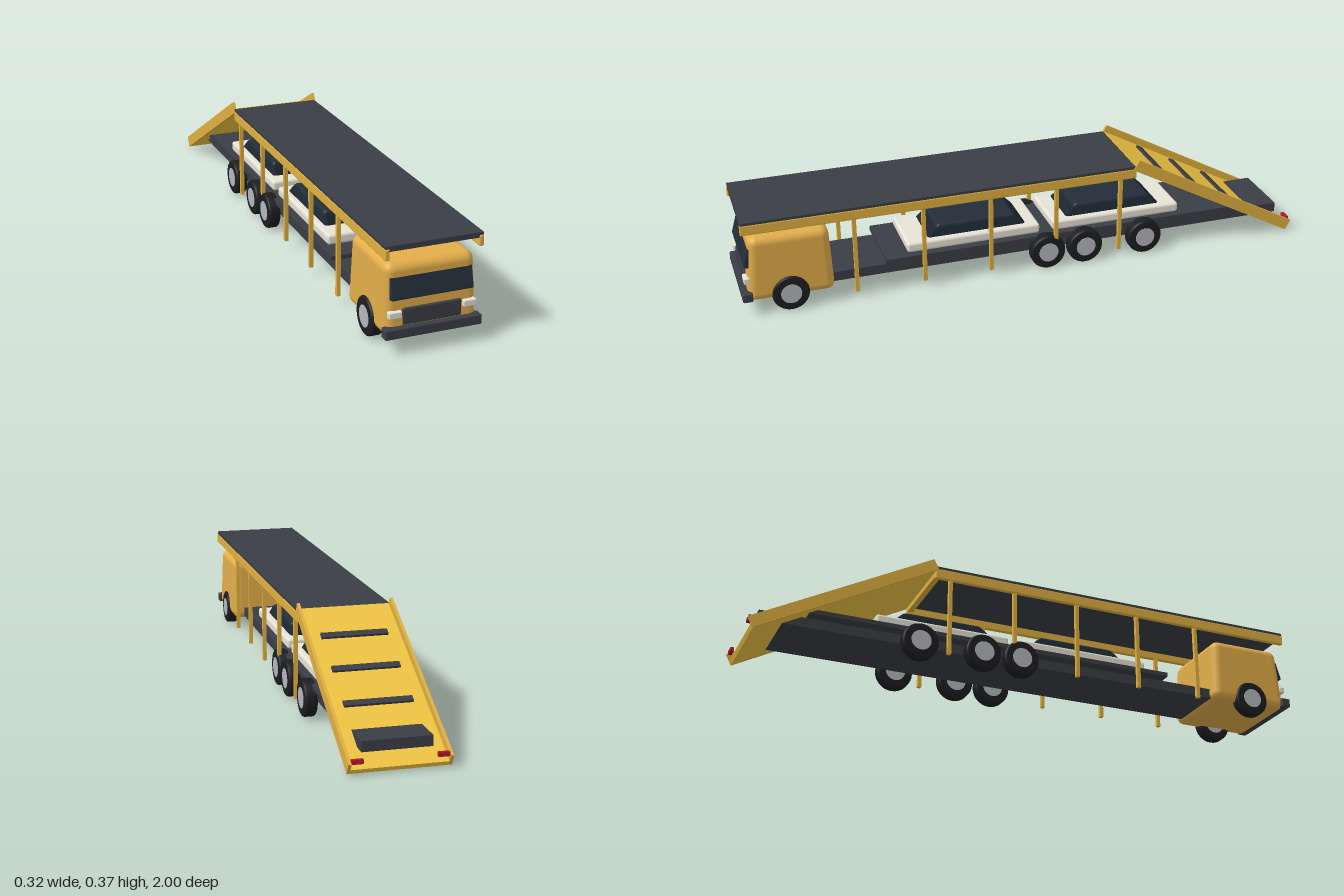
import * as THREE from 'three';
import { RoundedBoxGeometry } from 'three/addons/geometries/RoundedBoxGeometry.js';

const mat = (color) => new THREE.MeshStandardMaterial({ color });
const M = {
  cab: mat(0xe3ae4a), frame: mat(0xe0b040), ramp: mat(0xf0c542), dark: mat(0x3a3d44),
  glass: mat(0x222d39), tyre: mat(0x1c1d20), hub: mat(0xb4b6bc), white: mat(0xe6e2d6), red: mat(0xb01828),
};

export function createModel() {
  const root = new THREE.Group();

  const add = (name, geo, material, x, y, z, parent = root) => {
    const mesh = new THREE.Mesh(geo, material);
    mesh.name = name;
    mesh.position.set(x, y, z);
    parent.add(mesh);
    return mesh;
  };
  const box = (name, w, h, d, material, x, y, z, parent) =>
    add(name, new THREE.BoxGeometry(w, h, d), material, x, y, z, parent);
  const rbox = (name, w, h, d, r, material, x, y, z, parent) =>
    add(name, new RoundedBoxGeometry(w, h, d, 4, r), material, x, y, z, parent);
  // Moves vertices by a rule and refreshes the normals
  const reshape = (geo, rule) => {
    const p = geo.attributes.position;
    const v = new THREE.Vector3();
    for (let i = 0; i < p.count; i++) {
      rule(v.fromBufferAttribute(p, i));
      p.setXYZ(i, v.x, v.y, v.z);
    }
    return geo;
  };

  // Chassis and lower deck
  box('chassis', 0.22, 0.034, 1.91, M.dark, 0, 0.075, -0.003);
  box('lowerDeck', 0.26, 0.015, 1.31, M.dark, 0, 0.11, -0.145);

  // Cab, narrowing towards the roof with a raked front
  const cab = new THREE.Group();
  cab.name = 'cab';
  root.add(cab);
  const shell = reshape(new RoundedBoxGeometry(0.296, 0.232, 0.28, 5, 0.028), (v) => {
    const t = v.y / 0.116;
    v.x *= 1 - 0.022 * t;
    v.z -= t * (v.z > 0 ? 0.009 : -0.005);
  });
  add('cabShell', shell, M.cab, 0, 0.163, 0.834, cab);
  rbox('windscreen', 0.266, 0.07, 0.02, 0.004, M.glass, 0, 0.203, 0.968, cab).rotation.x = -0.28;
  rbox('grille', 0.19, 0.053, 0.02, 0.004, M.dark, 0, 0.114, 0.974, cab);
  rbox('bumper', 0.314, 0.032, 0.034, 0.004, M.dark, 0, 0.07, 0.983, cab);
  for (const s of [-1, 1])
    rbox('headlight', 0.042, 0.021, 0.02, 0.003, M.white, s * 0.121, 0.125, 0.98, cab);

  // Wheels: rounded tyre with a pale hub
  const tyreGeo = new THREE.LatheGeometry(
    [[0, -0.021], [0.056, -0.021], [0.061, -0.018], [0.063, -0.013], [0.063, 0.013],
      [0.061, 0.018], [0.056, 0.021], [0, 0.021]].map(([r, y]) => new THREE.Vector2(r, y)), 32);
  const hubGeo = new THREE.CylinderGeometry(0.035, 0.035, 0.045, 28);
  for (const z of [0.84, -0.062, -0.2, -0.424])
    for (const s of [-1, 1]) {
      const wheel = new THREE.Group();
      wheel.name = 'wheel';
      wheel.position.set(s * 0.136, 0.063, z);
      wheel.rotation.z = Math.PI / 2;
      root.add(wheel);
      add('tyre', tyreGeo, M.tyre, 0, 0, 0, wheel);
      add('hub', hubGeo, M.hub, 0, 0, 0, wheel);
    }

  // Upper deck with side beams, rear cross beam and posts
  box('upperDeck', 0.314, 0.017, 1.365, M.dark, 0, 0.339, 0.304);
  box('rearCrossBeam', 0.29, 0.02, 0.02, M.frame, 0, 0.322, -0.37);
  for (const s of [-1, 1]) {
    rbox('sideBeam', 0.015, 0.036, 1.37, 0.004, M.frame, s * 0.151, 0.321, 0.304);
    for (let i = 0; i < 5; i++)
      box('post', 0.013, 0.275, 0.013, M.frame, s * 0.15, 0.168, 0.617 - i * 0.2355);
  }

  // Sloping ramp with rails and slats
  const ramp = new THREE.Group();
  ramp.name = 'ramp';
  ramp.position.set(0, 0.187, -0.685);
  ramp.rotation.x = -0.497;
  root.add(ramp);
  box('rampPlate', 0.308, 0.016, 0.695, M.ramp, 0, -0.012, 0, ramp);
  for (const s of [-1, 1])
    box('rampRail', 0.01, 0.04, 0.695, M.frame, s * 0.156, 0, 0, ramp);
  for (const z of [0.21, 0.06, -0.09])
    box('rampSlat', 0.22, 0.012, 0.022, M.dark, 0, -0.002, z, ramp);
  for (const s of [-1, 1])
    box('tailLight', 0.036, 0.014, 0.012, M.red, s * 0.132, 0.043, -0.99);

  // Two carried cars: pale body and a tapered dark cabin
  for (const [z, shift] of [[0.193, -0.016], [-0.33, 0.006]]) {
    const car = new THREE.Group();
    car.name = 'carriedCar';
    car.position.set(0, 0.118, z);
    root.add(car);
    rbox('carBody', 0.22, 0.036, 0.475, 0.01, M.white, 0, 0.019, 0, car);
    const cabin = reshape(new RoundedBoxGeometry(0.18, 0.05, 0.37, 4, 0.012), (v) => {
      const t = (v.y + 0.025) / 0.05;
      v.x *= 1 - 0.14 * t;
      v.z *= 1 - 0.26 * t;
    });
    add('carCabin', cabin, M.glass, 0, 0.052, shift, car);
  }

  return root;
}
